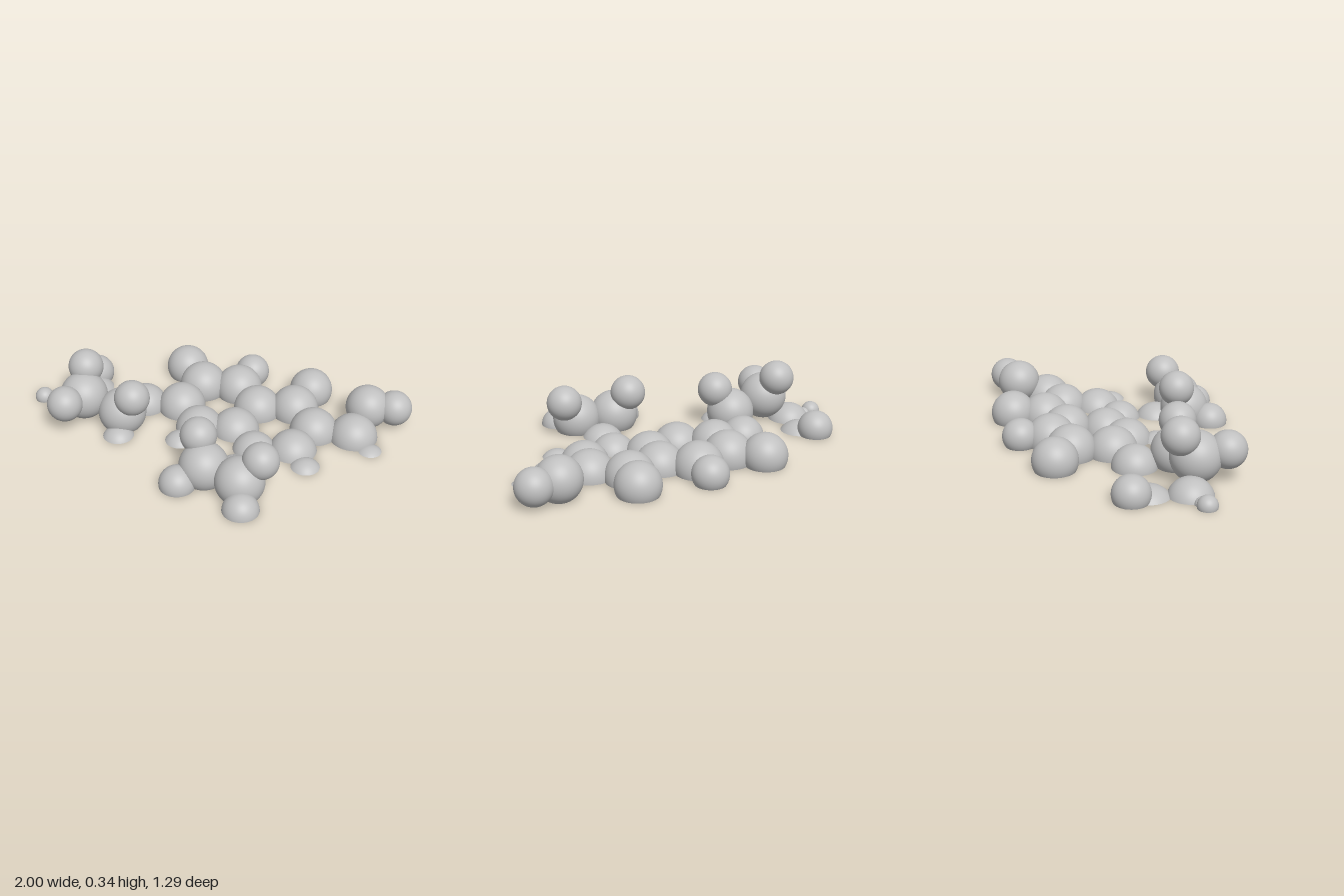
import * as THREE from 'three';

// Sphere radii by kind
const BIG = 0.125, MID = 0.114, SMALL = 0.092;

// Each ball: x, y, z of its centre and radius; balls are sliced flat at y = 0
const parts = {
  fusedRings: [
    [-0.143, 0.035, -0.373, BIG], [0.052, 0.03, -0.403, BIG], [0.19, 0.01, -0.264, BIG],
    [0.385, 0.02, -0.309, BIG], [0.52, 0.005, -0.154, BIG], [0.45, -0.025, 0.021, BIG],
    [0.257, -0.03, 0.069, MID], [0.123, -0.015, -0.069, BIG], [-0.065, -0.015, -0.034, BIG],
    [-0.203, 0.015, -0.174, BIG],
  ],
  ringSideBalls: [
    [-0.273, 0.05, -0.507, MID], [0.089, 0.05, -0.554, SMALL], [0.439, 0.048, -0.471, MID],
    [0.54, -0.055, 0.143, SMALL], [-0.128, -0.05, 0.105, SMALL],
  ],
  rightArm: [
    [0.727, 0, -0.17, BIG], [0.77, 0.1, -0.32, MID],
    [0.907, 0.102, -0.342, SMALL], [0.83, -0.07, -0.075, SMALL],
  ],
  leftArm: [
    [-0.402, 0, -0.149, MID], [-0.463, 0.075, 0.044, BIG], [-0.39, 0.2, 0.087, SMALL],
    [-0.448, -0.045, 0.155, SMALL], [-0.678, 0.13, 0.035, BIG], [-0.695, 0.251, -0.055, SMALL],
    [-0.727, 0.158, 0.177, SMALL], [-0.793, -0.03, -0.05, MID], [-0.905, -0.002, -0.05, 0.038],
    [-0.951, 0.013, -0.05, 0.049], [-0.725, -0.072, -0.23, BIG], [-0.748, 0.038, -0.327, SMALL],
  ],
  frontArm: [
    [0.208, -0.05, 0.262, MID], [0.077, 0.072, 0.367, BIG], [0.03, 0.2, 0.297, SMALL],
    [-0.03, 0.015, 0.464, SMALL], [0.275, 0.067, 0.424, BIG], [0.367, 0.178, 0.383, SMALL],
    [0.315, -0.004, 0.555, SMALL],
  ],
};

export function createModel() {
  const model = new THREE.Group();
  model.name = 'molecule';
  const grey = new THREE.MeshStandardMaterial({ color: 0xc0c0c0 });
  grey.name = 'lightGrey';

  function ball(group, [x, y, z, r]) {
    const cut = y < r;
    // Stop the sphere where it meets the ground plane
    const sweep = cut ? Math.acos(-y / r) : Math.PI;
    const dome = new THREE.Mesh(
      new THREE.SphereGeometry(r, 48, 28, 0, Math.PI * 2, 0, sweep), grey);
    dome.name = 'ball';
    dome.position.set(x, y, z);
    group.add(dome);
    if (!cut) return;
    // Flat underside
    const base = new THREE.Mesh(
      new THREE.CircleGeometry(Math.sqrt(r * r - y * y), 48).rotateX(Math.PI / 2), grey);
    base.name = 'flatBase';
    base.position.set(x, 0, z);
    group.add(base);
  }

  for (const [name, balls] of Object.entries(parts)) {
    const group = new THREE.Group();
    group.name = name;
    balls.forEach((b) => ball(group, b));
    model.add(group);
  }
  return model;
}
